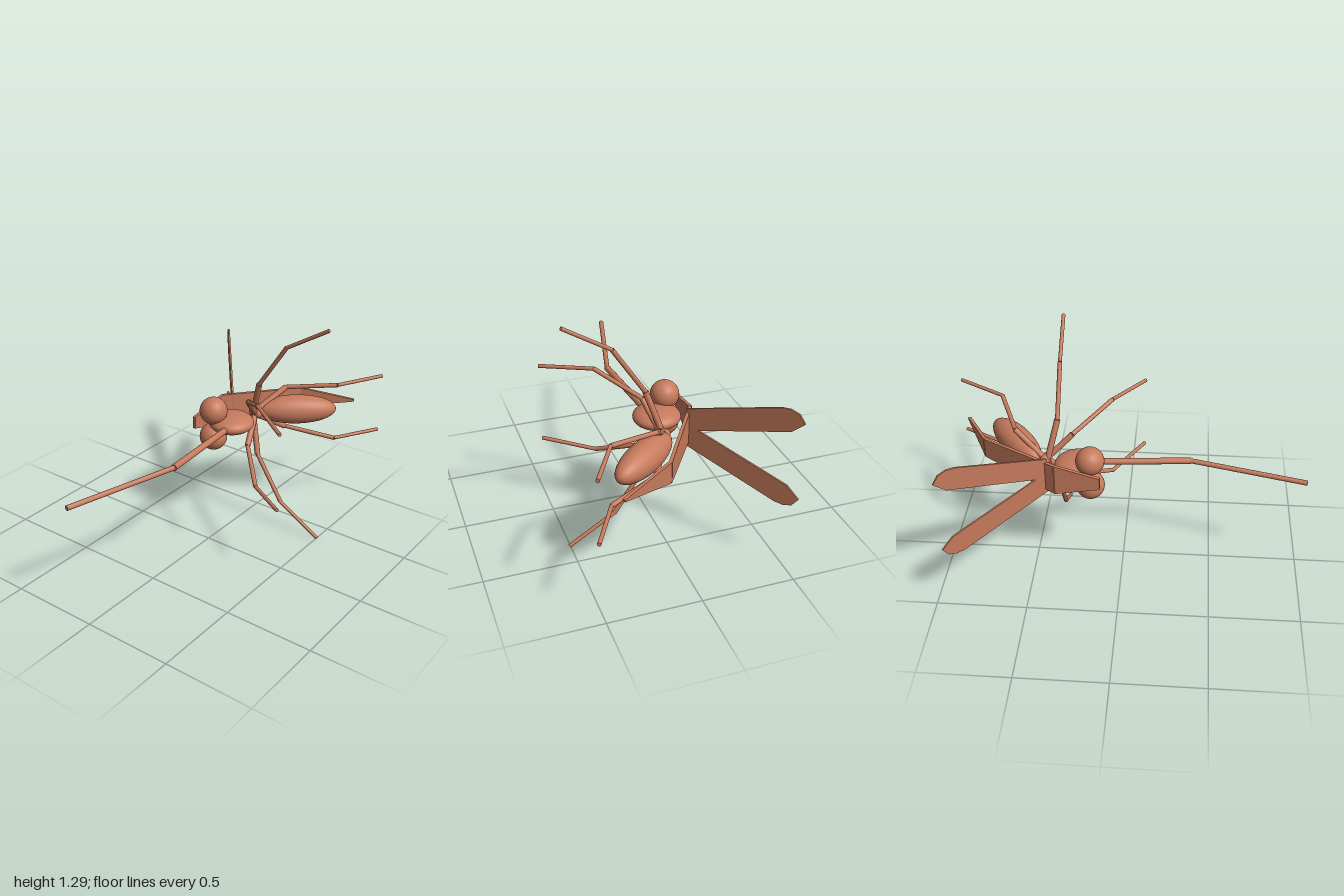
import * as THREE from 'three';

const MID = 0.65; // height of the symmetry plane

export function createModel() {
  const model = new THREE.Group();
  const clay = new THREE.MeshStandardMaterial({ color: 0xc67a5c });
  clay.name = 'clay';

  const add = (name, geometry) => {
    const mesh = new THREE.Mesh(geometry, clay);
    mesh.name = name;
    model.add(mesh);
    return mesh;
  };

  const ellipsoid = (name, pos, radii, turn = 0) => {
    const mesh = add(name, new THREE.SphereGeometry(1, 32, 24));
    mesh.position.set(...pos);
    mesh.scale.set(...radii);
    mesh.rotation.y = turn;
  };

  // Straight round rod between two points
  const rod = (name, a, b, r0, r1 = r0) => {
    const from = new THREE.Vector3(...a), to = new THREE.Vector3(...b);
    const dir = to.clone().sub(from);
    const mesh = add(name, new THREE.CylinderGeometry(r1, r0, dir.length(), 12));
    mesh.position.copy(from).add(to).multiplyScalar(0.5);
    mesh.quaternion.setFromUnitVectors(new THREE.Vector3(0, 1, 0), dir.normalize());
  };

  // Head, thorax, abdomen
  ellipsoid('head', [0.25, MID, -0.025], [0.129, 0.055, 0.129]);
  ellipsoid('thorax', [0.435, MID, 0.015], [0.028, 0.032, 0.046], -0.2);
  ellipsoid('abdomen', [0.62, MID, 0.175], [0.085, 0.085, 0.235], 0.684);

  // Two-part proboscis
  rod('proboscisBase', [0.2, MID, 0.005], [-0.37, MID, 0.053], 0.018);
  rod('proboscisTip', [-0.37, MID, 0.053], [-0.997, MID, -0.105], 0.014);

  // Back shield: three tapered plates, each station is [x, z, half height]
  const shield = [[0.115, -0.19, 0.035], [0.36, -0.17, 0.092], [0.785, 0.1, 0.06], [0.935, 0.385, 0.006]];
  for (let i = 0; i < 3; i++) {
    const [x0, z0, h0] = shield[i], [x1, z1, h1] = shield[i + 1];
    const box = new THREE.BoxGeometry(Math.hypot(x1 - x0, z1 - z0), 2, 0.018).toNonIndexed();
    const p = box.attributes.position;
    for (let k = 0; k < p.count; k++) p.setY(k, p.getY(k) * (p.getX(k) < 0 ? h0 : h1));
    box.computeVertexNormals();
    const plate = add('shieldPlate' + (i + 1), box);
    plate.position.set((x0 + x1) / 2, MID, (z0 + z1) / 2);
    plate.rotation.y = -Math.atan2(z1 - z0, x1 - x0);
  }

  // Wing outline: distance from the root, distance from the symmetry plane
  const wing = [[0, 0], [0.073, 0], [0.585, 0.155], [0.652, 0.216], [0.619, 0.261],
    [0.574, 0.275], [0.524, 0.271], [0, 0.107]];

  // Leg joints: hip, end of coxa, knee, foot; y is the distance from the plane
  const legs = {
    frontLeg: [[0.42, 0.01, 0.02], [0.285, 0.138, 0.066], [0.08, 0.246, 0.265], [-0.093, 0.222, 0.52]],
    middleLeg: [[0.42, 0.01, 0.01], [0.368, 0.222, 0.08], [0.365, 0.483, 0.253], [0.37, 0.637, 0.507]],
    hindLeg: [[0.44, 0.01, 0.01], [0.61, 0.126, 0.105], [0.726, 0.17, 0.38], [0.993, 0.174, 0.525]],
  };

  for (const [side, s] of [['upper', 1], ['lower', -1]]) {
    ellipsoid(side + 'Eye', [0.175, MID + s * 0.08, -0.097], [0.079, 0.079, 0.079]);

    const shape = new THREE.Shape(wing.map(([d, y]) => new THREE.Vector2(d, s * y)));
    const blade = add(side + 'Wing', new THREE.ExtrudeGeometry(shape, { depth: 0.01, bevelEnabled: false }));
    blade.position.set(0.402, MID, -0.134);
    blade.rotation.y = 0.67;

    for (const [name, joints] of Object.entries(legs)) {
      const j = joints.map(([x, y, z]) => [x, MID + s * y, z]);
      rod(side + name + 'Coxa', j[0], j[1], 0.017);
      rod(side + name + 'Femur', j[1], j[2], 0.0125);
      rod(side + name + 'Tibia', j[2], j[3], 0.0105);
    }
  }
  return model;
}
